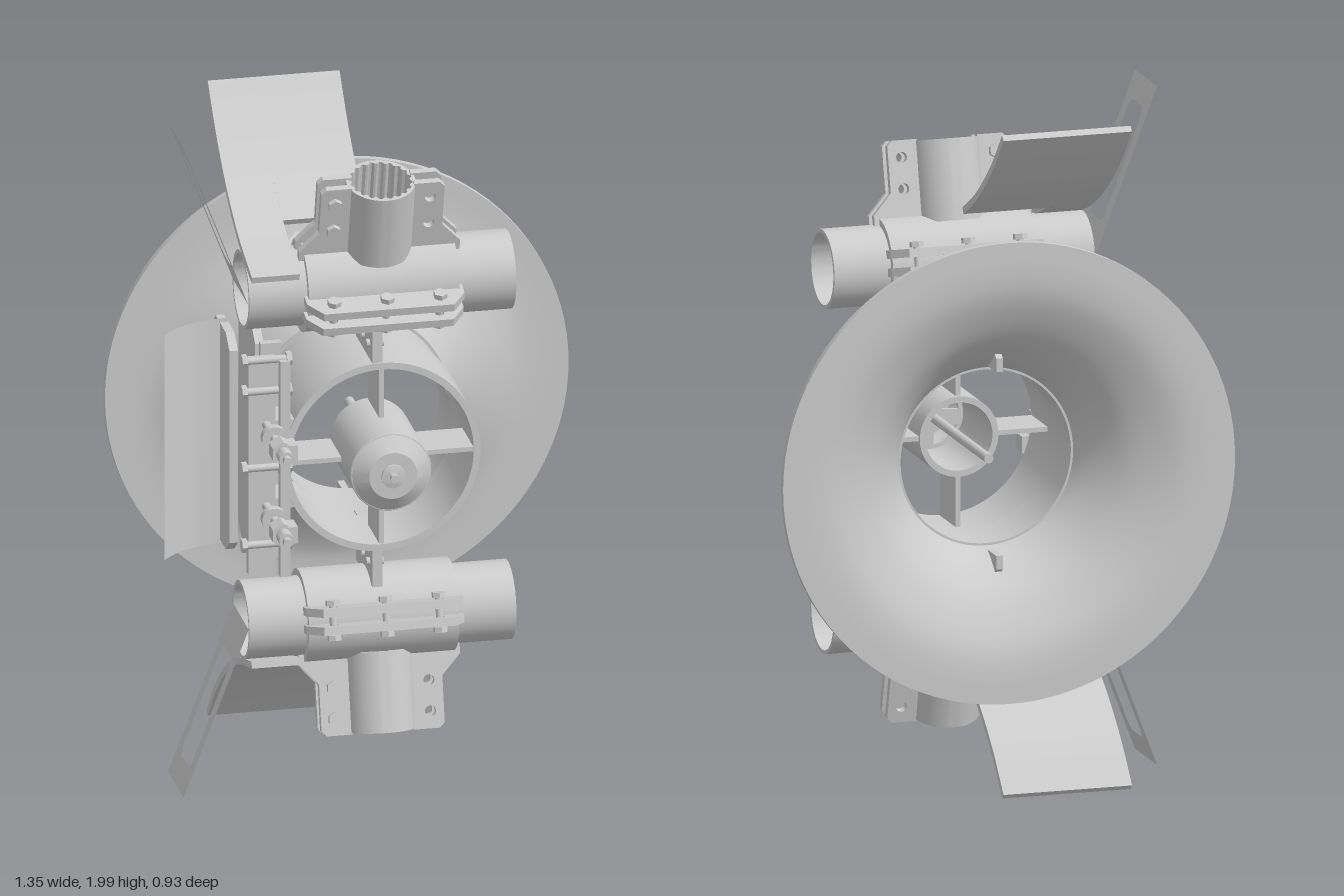
import * as THREE from 'three';
import { toCreasedNormals } from 'three/addons/utils/BufferGeometryUtils.js';

const mat = new THREE.MeshStandardMaterial({ color: 0xcccccc, side: THREE.DoubleSide });
const MID = 1.003; // height of the duct axis
const V2 = (x, y) => new THREE.Vector2(x, y);

function add(parent, name, geo, x = 0, y = 0, z = 0) {
  const m = new THREE.Mesh(geo, mat);
  m.name = name;
  m.position.set(x, y, z);
  parent.add(m);
  return m;
}
const box = (p, name, w, h, d, x, y, z) => add(p, name, new THREE.BoxGeometry(w, h, d), x, y, z);
const crease = (g, a = 0.6) => toCreasedNormals(g, a);

// Lathe around the z axis; points are [radius, z]
const latheZ = (pts, seg = 96) =>
  crease(new THREE.LatheGeometry(pts.map(p => V2(p[0], p[1])), seg).rotateX(Math.PI / 2));

// Hollow pipe along y from a to b
const pipe = (ro, ri, a, b, seg = 64) =>
  crease(new THREE.LatheGeometry([V2(ri, a), V2(ro, a), V2(ro, b), V2(ri, b), V2(ri, a)], seg));

function circleHole(shape, x, y, r) {
  const h = new THREE.Path();
  h.absarc(x, y, r, 0, Math.PI * 2, true);
  shape.holes.push(h);
}

const polygon = pts => new THREE.Shape(pts.map(p => V2(p[0], p[1])));
const extrude = (shape, depth, curveSegments = 16) =>
  new THREE.ExtrudeGeometry(shape, { depth, bevelEnabled: false, curveSegments });

// Bolt along y with a hex head and nut
function bolt(p, x, y, z, len, r) {
  const g = new THREE.Group();
  g.name = 'bolt';
  add(g, 'boltShank', new THREE.CylinderGeometry(r, r, len, 12));
  for (const s of [-1, 1])
    add(g, 'boltHead', crease(new THREE.CylinderGeometry(r * 1.9, r * 1.9, r * 1.4, 6)), 0, s * len / 2, 0);
  g.position.set(x, y, z);
  p.add(g);
  return g;
}

// Curved blade profile swept along x between x0 and x1
function bladePiece(pts, x0, x1) {
  const curve = new THREE.SplineCurve(pts.map(([z, y]) => V2(-z, y)));
  const upper = [], lower = [];
  for (let i = 0; i <= 24; i++) {
    const p = curve.getPoint(i / 24), t = curve.getTangent(i / 24);
    upper.push(V2(p.x - t.y * 0.01, p.y + t.x * 0.01));
    lower.unshift(V2(p.x + t.y * 0.01, p.y - t.x * 0.01));
  }
  return crease(extrude(new THREE.Shape([...upper, ...lower]), x1 - x0).rotateY(Math.PI / 2).translate(x0, 0, 0));
}

// Split clamp around a cross tube, with a ribbed socket rising from it
function clamp() {
  const g = new THREE.Group();
  g.name = 'teeClamp';
  add(g, 'collar', pipe(0.135, 0.114, -0.22, 0.22).rotateZ(Math.PI / 2));

  // Bolted lugs either side of the split
  const lug = polygon([[-0.23, 0.1], [0.23, 0.1], [0.23, 0.15], [0.19, 0.205], [-0.19, 0.205], [-0.23, 0.15]]);
  for (const x of [-0.155, 0.155]) circleHole(lug, x, 0.168, 0.014);
  for (const s of [-1, 1]) {
    for (const y of [-0.038, 0.014]) {
      const geo = extrude(lug, 0.024).rotateX(Math.PI / 2).translate(0, 0.024, 0);
      add(g, 'clampLug', s > 0 ? geo : geo.rotateY(Math.PI), 0, y, 0);
    }
    for (const x of [-0.155, 0, 0.155]) bolt(g, x, 0, s * 0.168, 0.1, 0.011);
  }

  // Socket with internal ribs
  const ring = new THREE.Shape();
  ring.absarc(0, 0, 0.1, 0, Math.PI * 2);
  const teeth = [];
  for (let i = 0; i < 80; i++) {
    const a = -i / 80 * Math.PI * 2, r = i % 4 < 2 ? 0.084 : 0.091;
    teeth.push(V2(Math.cos(a) * r, Math.sin(a) * r));
  }
  ring.holes.push(new THREE.Path(teeth));
  add(g, 'socket', crease(extrude(ring, 0.235, 32).rotateX(-Math.PI / 2)), 0, 0.11, 0);

  // Paired ears beside the socket
  for (const s of [-1, 1]) {
    const ear = polygon([[0.09, 0.1], [0.235, 0.1], [0.235, 0.14], [0.18, 0.2], [0.18, 0.335], [0.165, 0.35], [0.09, 0.35]]);
    for (const y of [0.21, 0.3]) circleHole(ear, 0.14, y, 0.016);
    for (const z of [-0.036, 0.016]) {
      const geo = extrude(ear, 0.02);
      add(g, 'socketEar', s > 0 ? geo : geo.rotateY(Math.PI).translate(0, 0, 0.02), 0, 0, z);
    }
  }
  for (const y of [0.21, 0.3]) bolt(g, -0.14, y, 0, 0.09, 0.011).rotation.x = Math.PI / 2;
  return g;
}

// Everything above the duct; mirrored for the lower side. y is measured from the duct axis.
function arm() {
  const g = new THREE.Group();
  g.name = 'arm';
  const ty = 0.507, tz = 0.063;
  add(g, 'crossTube', pipe(0.115, 0.104, -0.39, 0.39).rotateZ(Math.PI / 2), 0, ty, tz);
  add(g, 'tubePlug', new THREE.CylinderGeometry(0.104, 0.104, 0.02, 48).rotateZ(Math.PI / 2), -0.2, ty, tz);
  add(g, 'plugKnob', new THREE.SphereGeometry(0.055, 24, 16).scale(2, 1, 1), -0.25, ty, tz);

  const c = clamp();
  c.position.set(0, ty, tz);
  c.rotation.x = 0.25;
  g.add(c);

  // Blade: narrow strip hugging the tube, wide tail sweeping back
  const tail = [[-0.395, 0.967], [-0.285, 0.85], [-0.15, 0.742], [-0.02, 0.668]];
  add(g, 'bladeStrip', bladePiece([...tail, [0.08, 0.628], [0.21, 0.59]], -0.39, -0.25));
  add(g, 'bladeTail', bladePiece(tail, -0.25, -0.005));

  // Slotted plate leaning outwards
  const L = 0.535, plate = polygon([[-0.105, 0], [0.105, 0], [0.105, L], [-0.105, L]]);
  const slot = new THREE.Path();
  slot.moveTo(-0.062, 0.13).lineTo(-0.045, 0.11).lineTo(0.045, 0.11).lineTo(0.062, 0.13)
    .lineTo(0.062, 0.44).lineTo(0.045, 0.46).lineTo(-0.045, 0.46).lineTo(-0.062, 0.44).closePath();
  plate.holes.push(slot);
  const p = add(g, 'slottedPlate', new THREE.ShapeGeometry(plate).rotateY(Math.PI / 2), -0.39, 0.497, tz);
  p.rotation.z = 0.363;

  // Pylon between duct and tube
  box(g, 'pylon', 0.03, 0.13, 0.22, -0.012, 0.335, 0.05);
  for (const z of [-0.02, 0.05, 0.12])
    add(g, 'pylonPin', new THREE.CylinderGeometry(0.012, 0.012, 0.05, 12).rotateZ(Math.PI / 2), -0.012, 0.335, z);
  const rib = polygon([[0.07, 0.27], [0.35, 0.27], [0.35, 0.31], [0.3, 0.345], [0.24, 0.31], [0.13, 0.31]]);
  add(g, 'rearRib', extrude(rib, 0.02).rotateY(Math.PI / 2), -0.02, 0, 0);
  return g;
}

export function createModel() {
  const model = new THREE.Group();
  const core = new THREE.Group();
  core.name = 'duct';
  core.position.y = MID;
  model.add(core);

  // Duct and flared bell
  add(core, 'ductRing', latheZ([[0.268, 0.165], [0.288, 0.165], [0.288, -0.07], [0.268, -0.07], [0.268, 0.165]]));
  add(core, 'throat', latheZ([[0.276, -0.07], [0.276, -0.235], [0.284, -0.235], [0.284, -0.25], [0.255, -0.25], [0.255, -0.07]]));
  const outer = new THREE.SplineCurve([V2(0.275, -0.235), V2(0.298, -0.27), V2(0.335, -0.32), V2(0.4, -0.38), V2(0.5, -0.432), V2(0.57, -0.447), V2(0.677, -0.449)]);
  const inner = new THREE.SplineCurve([V2(0.677, -0.47), V2(0.57, -0.468), V2(0.49, -0.45), V2(0.39, -0.4), V2(0.325, -0.342), V2(0.28, -0.285), V2(0.255, -0.235)]);
  add(core, 'bell', latheZ([...outer.getPoints(24), ...inner.getPoints(24)].map(p => [p.x, p.y])));

  // Hub, vanes and shaft
  add(core, 'hub', latheZ([[0.1, 0], [0.118, 0], [0.118, 0.285], [0.1, 0.285], [0.1, 0]], 48));
  add(core, 'hubCone', latheZ([[0.118, 0.285], [0.07, 0.318], [0.035, 0.318]], 48));
  const face = new THREE.Shape();
  face.absarc(0, 0, 0.116, 0, Math.PI * 2);
  for (let i = 0; i < 4; i++) {
    const a = i * Math.PI / 2 + 0.4, h = new THREE.Path();
    h.absarc(0, 0, 0.088, a, a + 1.05, false);
    h.lineTo(Math.cos(a + 0.7) * 0.035, Math.sin(a + 0.7) * 0.035);
    h.closePath();
    face.holes.push(h);
  }
  add(core, 'hubFace', extrude(face, 0.012), 0, 0, 0.276);
  add(core, 'hubBoss', latheZ([[0, 0.345], [0.012, 0.345], [0.012, 0.33], [0.035, 0.325], [0.035, 0.28], [0, 0.28]], 24));
  add(core, 'shaft', new THREE.CylinderGeometry(0.014, 0.014, 0.56, 16).rotateX(Math.PI / 2), 0, 0, 0);
  for (let i = 0; i < 4; i++) {
    const a = i * Math.PI / 2;
    box(core, 'vane', 0.165, 0.014, 0.15, Math.cos(a) * 0.19, Math.sin(a) * 0.19, 0.085).rotation.z = a;
  }

  // Upper and lower arms
  for (const s of [1, -1]) {
    const a = arm();
    a.name = s > 0 ? 'upperArm' : 'lowerArm';
    a.position.y = MID;
    a.scale.y = s;
    model.add(a);
  }

  // Side clamp with its curved guard
  const side = new THREE.Group();
  side.name = 'sideClamp';
  side.position.y = MID;
  model.add(side);
  const strip = polygon([[-0.31, 0], [0.31, 0], [0.35, 0.05], [0.35, 0.19], [0.31, 0.225], [-0.31, 0.225], [-0.35, 0.19], [-0.35, 0.05]]);
  for (const [x, k] of [[-0.385, 0.95], [-0.31, 1]]) // upright plates
    add(side, 'clampPlate', extrude(strip, 0.025).rotateY(-Math.PI / 2).rotateX(Math.PI / 2).scale(1, k, -1), x, 0, 0);
  for (const [x, w, z] of [[-0.35, 0.08, 0.15], [-0.29, 0.03, 0.19], [-0.3, 0.06, 0.04]])
    box(side, 'clampRail', w, 0.66, 0.025, x, 0, z);
  for (const s of [-1, 1]) {
    box(side, 'sidePylon', 0.09, 0.03, 0.2, -0.3, s * 0.12, 0.06);
    // Long studs with nuts, standing forward
    const stud = new THREE.Group();
    stud.name = 'stud';
    stud.position.set(-0.337, s * 0.125, 0);
    side.add(stud);
    for (const [r, z0, z1, n] of [[0.013, 0.15, 0.46, 12], [0.036, 0.25, 0.275, 24], [0.024, 0.235, 0.25, 6], [0.036, 0.34, 0.395, 6], [0.022, 0.395, 0.44, 12]])
      add(stud, 'studPart', crease(new THREE.CylinderGeometry(r, r, z1 - z0, n).rotateX(Math.PI / 2)), 0, 0, (z0 + z1) / 2);
    box(stud, 'studTab', 0.03, 0.05, 0.06, 0.026, 0, 0.37);
  }
  for (const y of [-0.235, 0, 0.235, 0.33]) bolt(side, -0.34, y, 0.175, 0.13, 0.011).rotation.z = Math.PI / 2;

  // Guard sheet curving back beside the duct
  const guard = new THREE.SplineCurve([V2(-0.592, -0.035), V2(-0.54, -0.085), V2(-0.47, -0.12), V2(-0.37, -0.135)]);
  const sheet = new THREE.PlaneGeometry(1, 0.69, 20, 1), pos = sheet.attributes.position;
  for (let i = 0; i < pos.count; i++) {
    const p = guard.getPoint(pos.getX(i) + 0.5);
    pos.setX(i, p.x);
    pos.setZ(i, p.y);
  }
  sheet.computeVertexNormals();
  add(side, 'guardSheet', sheet);
  return model;
}
